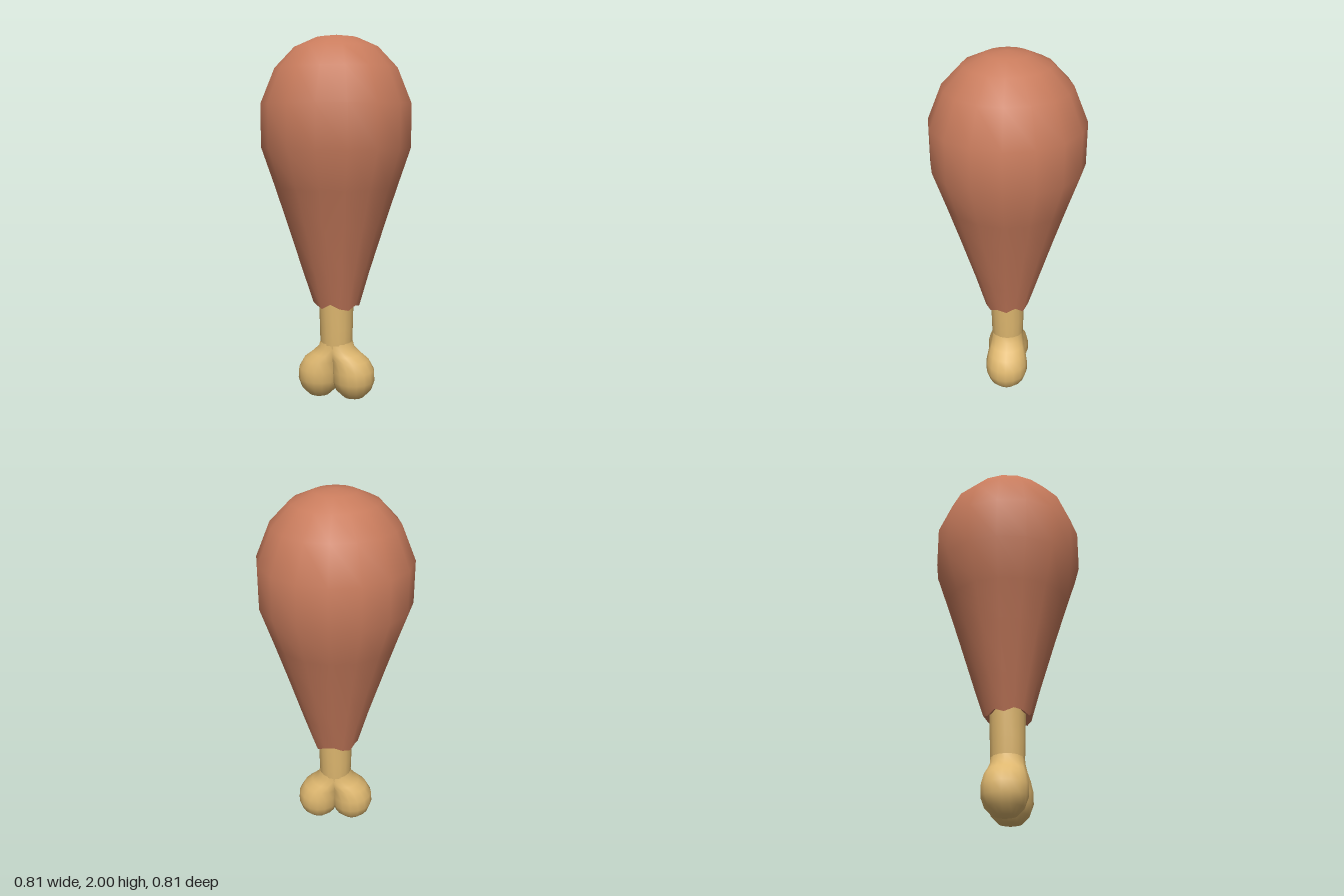
import * as THREE from 'three';
import { mergeVertices } from 'three/addons/utils/BufferGeometryUtils.js';

const SIDES = 16;

// Turned surface whose points are then moved by a rule, with smooth seamless normals
function turned(profile, move) {
  let geo = new THREE.LatheGeometry(profile.map(([r, y]) => new THREE.Vector2(r, y)), SIDES);
  const pos = geo.attributes.position;
  for (let i = 0; i < pos.count; i++) {
    const row = i % profile.length;
    const side = Math.floor(i / profile.length) % SIDES;
    if (move) move(pos, i, row, side);
  }
  geo.deleteAttribute('uv');
  geo.deleteAttribute('normal');
  geo = mergeVertices(geo);
  geo.computeVertexNormals();
  return geo;
}

export function createModel() {
  const group = new THREE.Group();
  const meat = new THREE.MeshStandardMaterial({ name: 'roast meat', color: 0xc97c5d });
  const bone = new THREE.MeshStandardMaterial({ name: 'bone', color: 0xdeb76f });

  const add = (name, geo, mat) => {
    const mesh = new THREE.Mesh(geo, mat);
    mesh.name = name;
    group.add(mesh);
    return mesh;
  };

  // Ragged lower edge of the meat: height offset for each side
  const ragged = [0.015, -0.01, -0.022, 0, -0.012, 0.012, -0.024, 0.004,
    0.014, -0.008, -0.02, 0.006, -0.012, 0.01, 0.002, -0.014];
  const tear = (rimRows) => (pos, i, row, side) => {
    if (rimRows.includes(row)) pos.setY(i, pos.getY(i) + ragged[side]);
  };

  // Meat body
  add('meat', turned([
    [0.13, 0.55], [0.185, 0.73], [0.27, 1.0], [0.335, 1.2], [0.406, 1.41],
    [0.406, 1.64], [0.33, 1.825], [0.225, 1.935], [0.112, 1.985], [0, 2.0],
  ], tear([0])), meat);

  // Underside lip tucked in around the bone
  add('meatLip', turned([[0.08, 0.6], [0.105, 0.565], [0.13, 0.55]], tear([1, 2])), meat);

  // Bone shaft, ending inside the knuckles
  add('boneShaft', turned([
    [0, 0.16], [0.06, 0.19], [0.085, 0.25], [0.09, 0.31], [0.093, 0.42], [0.098, 0.62],
  ]), bone);

  // Knuckles: round sections drifting outward from the shaft, [radius, height, offset]
  const sections = [
    [0, 0.003, 0.1], [0.06, 0.016, 0.1], [0.1, 0.056, 0.099], [0.12, 0.11, 0.098],
    [0.12, 0.17, 0.094], [0.109, 0.225, 0.074], [0.098, 0.26, 0.04],
    [0.091, 0.295, 0.01], [0.088, 0.34, 0],
  ];
  for (const [name, turn] of [['leftKnuckle', 0], ['rightKnuckle', Math.PI]]) {
    const geo = turned(sections, (pos, i, row) => pos.setX(i, pos.getX(i) + sections[row][2]));
    add(name, geo, bone).rotation.y = turn;
  }
  return group;
}
